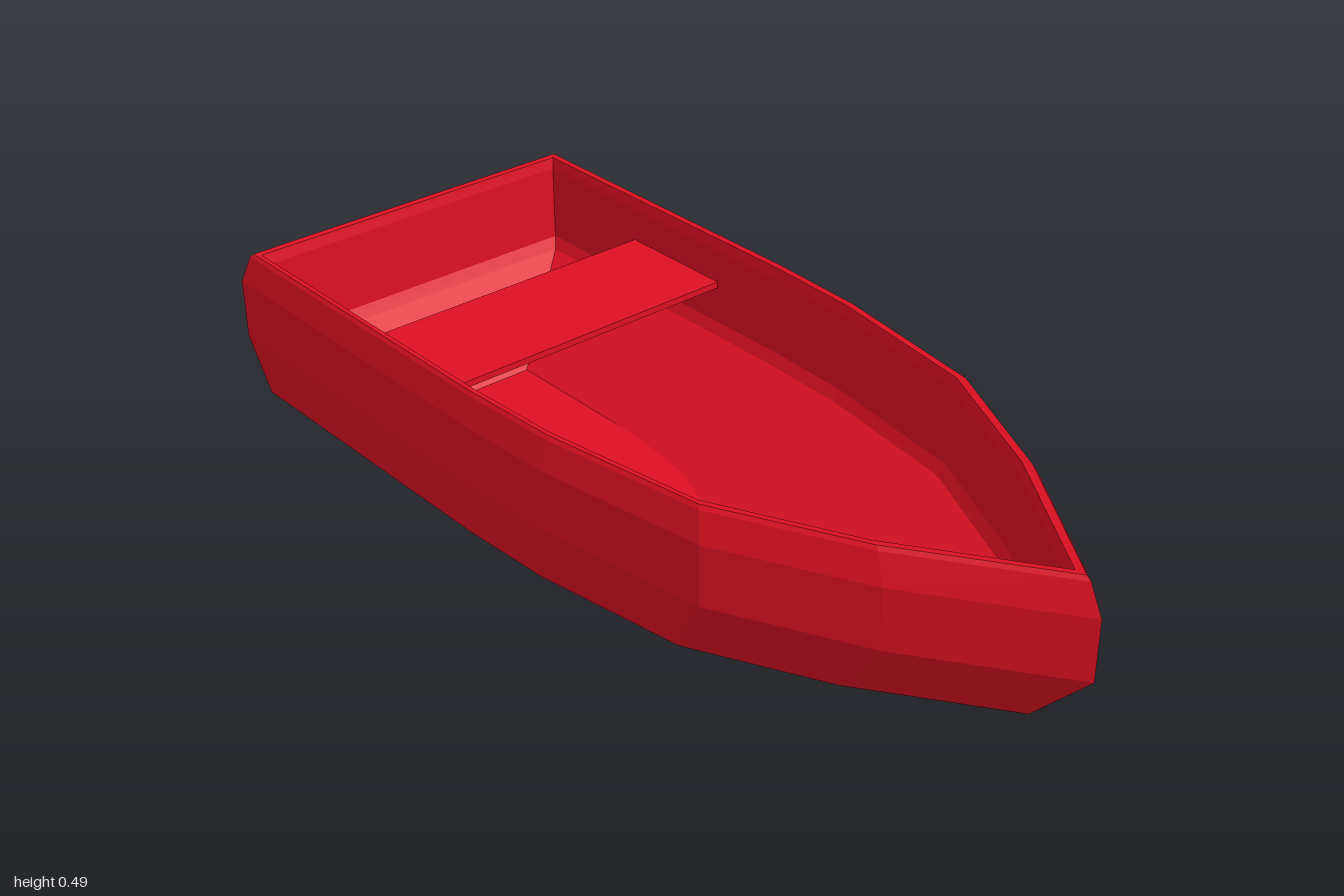
import * as THREE from 'three';

const material = new THREE.MeshStandardMaterial({ color: 0xdd1022, flatShading: true });

// Half plan of the boat: [lengthwise -1..1, width 0..1], stern to bow
const half = [[-1, 1], [-0.6, 1], [-0.2, 1], [0.03, 0.975], [0.4, 0.84], [0.7, 0.49], [1, 0]];
const plan = [...half, ...half.slice(0, -1).reverse().map(([u, w]) => [u, -w])];

// Skin through horizontal rings [y, sternX, bowX, halfWidth]; fan-closed at the last ring
function skin(name, levels) {
  const n = plan.length;
  const pos = [];
  const idx = [];
  for (const [y, x0, x1, hw] of levels) {
    for (const [u, w] of plan) pos.push(x0 + (u + 1) / 2 * (x1 - x0), y, w * hw);
  }
  for (let r = 0; r < levels.length - 1; r++) {
    for (let i = 0; i < n; i++) {
      const a = r * n + i, b = r * n + (i + 1) % n;
      idx.push(a, a + n, b, b, a + n, b + n);
    }
  }
  const last = (levels.length - 1) * n;
  for (let i = 1; i < n - 1; i++) idx.push(last, last + i + 1, last + i);
  const indexed = new THREE.BufferGeometry();
  indexed.setAttribute('position', new THREE.Float32BufferAttribute(pos, 3));
  indexed.setIndex(idx);
  const geometry = indexed.toNonIndexed();
  geometry.computeVertexNormals();
  const mesh = new THREE.Mesh(geometry, material);
  mesh.name = name;
  return mesh;
}

// Same skin turned to face inwards and up
function innerSkin(name, levels) {
  const mesh = skin(name, levels);
  const p = mesh.geometry.attributes.position;
  for (let i = 0; i < p.count; i += 3) {
    const b = [p.getX(i + 1), p.getY(i + 1), p.getZ(i + 1)];
    p.setXYZ(i + 1, p.getX(i + 2), p.getY(i + 2), p.getZ(i + 2));
    p.setXYZ(i + 2, ...b);
  }
  mesh.geometry.computeVertexNormals();
  return mesh;
}

export function createModel() {
  const boat = new THREE.Group();
  boat.name = 'rowingBoat';

  // Outer hull, from the gunwale down to the keel
  boat.add(skin('hull', [
    [0.488, -0.972, 0.96, 0.4],
    [0.48, -0.98, 0.97, 0.405],
    [0.42, -1, 1, 0.42],
    [0.29, -1, 1, 0.42],
    [0.147, -0.98, 0.87, 0.392],
    [0.065, -0.92, 0.58, 0.318],
    [0.03, -0.82, 0.27, 0.225],
    [0.012, -0.68, 0.06, 0.15],
    [0, -0.5, -0.12, 0.08],
  ]));

  // Rim, inner walls and sloping floor
  boat.add(innerSkin('interior', [
    [0.488, -0.972, 0.96, 0.4],
    [0.486, -0.96, 0.935, 0.388],
    [0.462, -0.955, 0.925, 0.383],
    [0.29, -0.955, 0.925, 0.383],
    [0.265, -0.94, 0.9, 0.37],
    [0.1, -0.76, 0.05, 0.14],
  ]));

  // Thwart across the stern half
  const seat = new THREE.Mesh(new THREE.BoxGeometry(0.28, 0.014, 0.77), material);
  seat.name = 'seat';
  seat.position.set(-0.52, 0.38, 0);
  boat.add(seat);

  return boat;
}
